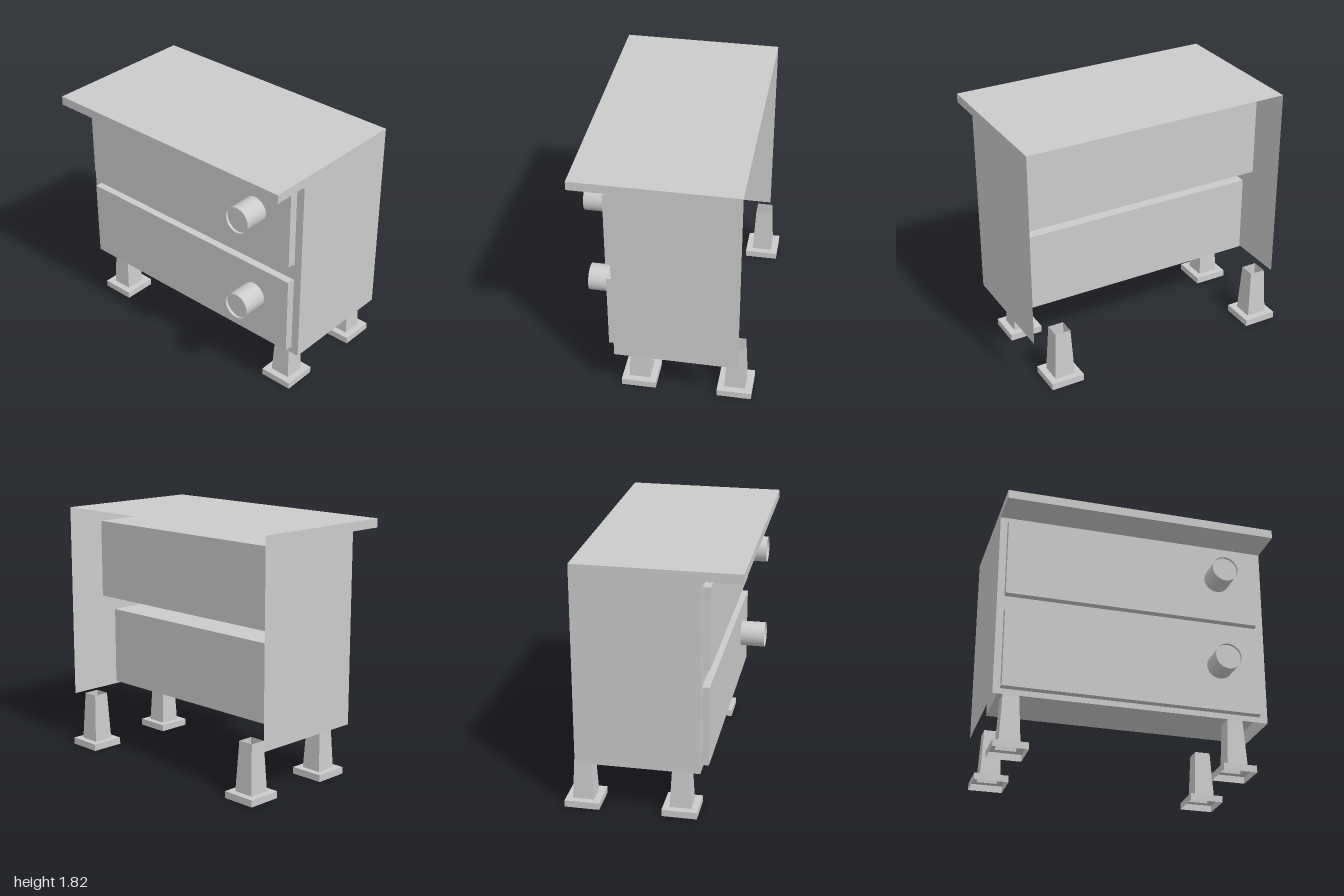
import * as THREE from 'three';

const mat = new THREE.MeshStandardMaterial({ color: 0xcccccc, side: THREE.DoubleSide });
const flat = new THREE.MeshStandardMaterial({ color: 0xcccccc, side: THREE.DoubleSide, flatShading: true });

function add(parent, name, geometry, x, y, z, material = mat) {
  const mesh = new THREE.Mesh(geometry, material);
  mesh.name = name;
  mesh.position.set(x, y, z);
  parent.add(mesh);
  return mesh;
}

// Rectangle outline as a shape or hole
function rect(Type, x0, y0, x1, y1) {
  return new Type([[x0, y0], [x1, y0], [x1, y1], [x0, y1]].map(p => new THREE.Vector2(...p)));
}

// Thin panels facing sideways (w along z) and up (d along z)
const sidePanel = (w, h) => new THREE.PlaneGeometry(w, h).rotateY(Math.PI / 2);
const levelPanel = (w, d) => new THREE.PlaneGeometry(w, d).rotateX(-Math.PI / 2);

// Open four-sided tube with half widths at top and bottom
const squareTube = (top, bottom, h) =>
  new THREE.CylinderGeometry(top * Math.SQRT2, bottom * Math.SQRT2, h, 4, 1, true).rotateY(Math.PI / 4);

const BACK = -0.53, FRONT = 0.35, LIP = 0.62;
const BOTTOM = 0.37, LIP_Y = 1.755, TOP = 1.82;

// Hollow tapered leg on a hollow square foot
function makeLeg(x, z) {
  const leg = new THREE.Group();
  leg.name = 'leg';
  add(leg, 'legColumn', squareTube(0.058, 0.076, 0.36), 0, 0.23, 0, flat);
  add(leg, 'footSides', squareTube(0.125, 0.125, 0.05), 0, 0.025, 0, flat);
  const plate = rect(THREE.Shape, -0.125, -0.125, 0.125, 0.125);
  plate.holes.push(rect(THREE.Path, -0.076, -0.076, 0.076, 0.076));
  add(leg, 'footTop', new THREE.ShapeGeometry(plate).rotateX(-Math.PI / 2), 0, 0.05, 0);
  leg.position.set(x, 0, z);
  return leg;
}

// Drawer box with a round knob whose end is slightly recessed
function makeDrawer({ y0, y1, back, knobY }) {
  const drawer = new THREE.Group();
  drawer.name = 'drawer';
  const x0 = -0.948, x1 = 0.932, front = 0.4;
  add(drawer, 'drawerBox', new THREE.BoxGeometry(x1 - x0, y1 - y0, front - back),
    (x0 + x1) / 2, (y0 + y1) / 2, (front + back) / 2);
  const r = 0.096, len = 0.185;
  add(drawer, 'knobSide', new THREE.CylinderGeometry(r, r, len, 32, 1, true).rotateX(Math.PI / 2),
    0.63, knobY, front + len / 2);
  add(drawer, 'knobEnd', new THREE.CircleGeometry(r, 32), 0.63, knobY, front + len - 0.02);
  return drawer;
}

export function createModel() {
  const model = new THREE.Group();
  model.name = 'nightstand';
  const drawers = [
    { y0: 1.12, y1: 1.7, back: -0.29, knobY: 1.455 },
    { y0: 0.413, y1: 0.995, back: -0.17, knobY: 0.752 },
  ];

  // Thin cabinet shell, open at the back and underneath
  const shell = new THREE.Group();
  shell.name = 'cabinet';
  model.add(shell);
  add(shell, 'top', levelPanel(2, LIP - BACK), 0, TOP, (LIP + BACK) / 2);
  for (const s of [-1, 1]) {
    add(shell, 'side', sidePanel(FRONT - BACK, TOP - BOTTOM), s, (TOP + BOTTOM) / 2, (FRONT + BACK) / 2);
    add(shell, 'lipEnd', sidePanel(LIP - FRONT, TOP - LIP_Y), s, (TOP + LIP_Y) / 2, (LIP + FRONT) / 2);
  }
  add(shell, 'lipFront', new THREE.PlaneGeometry(2, TOP - LIP_Y), 0, (TOP + LIP_Y) / 2, LIP);
  add(shell, 'lipUnderside', levelPanel(2, LIP - FRONT), 0, LIP_Y, (LIP + FRONT) / 2);

  // Front frame with a slot for each drawer
  const frame = rect(THREE.Shape, -1, BOTTOM, 1, LIP_Y);
  for (const d of drawers) frame.holes.push(rect(THREE.Path, -0.948, d.y0 - 0.002, 0.942, d.y1 + 0.005));
  add(shell, 'frontFrame', new THREE.ShapeGeometry(frame), 0, 0, FRONT);

  for (const d of drawers) model.add(makeDrawer(d));

  for (const x of [-0.855, 0.787]) for (const z of [0.2, -0.495]) model.add(makeLeg(x, z));
  return model;
}
